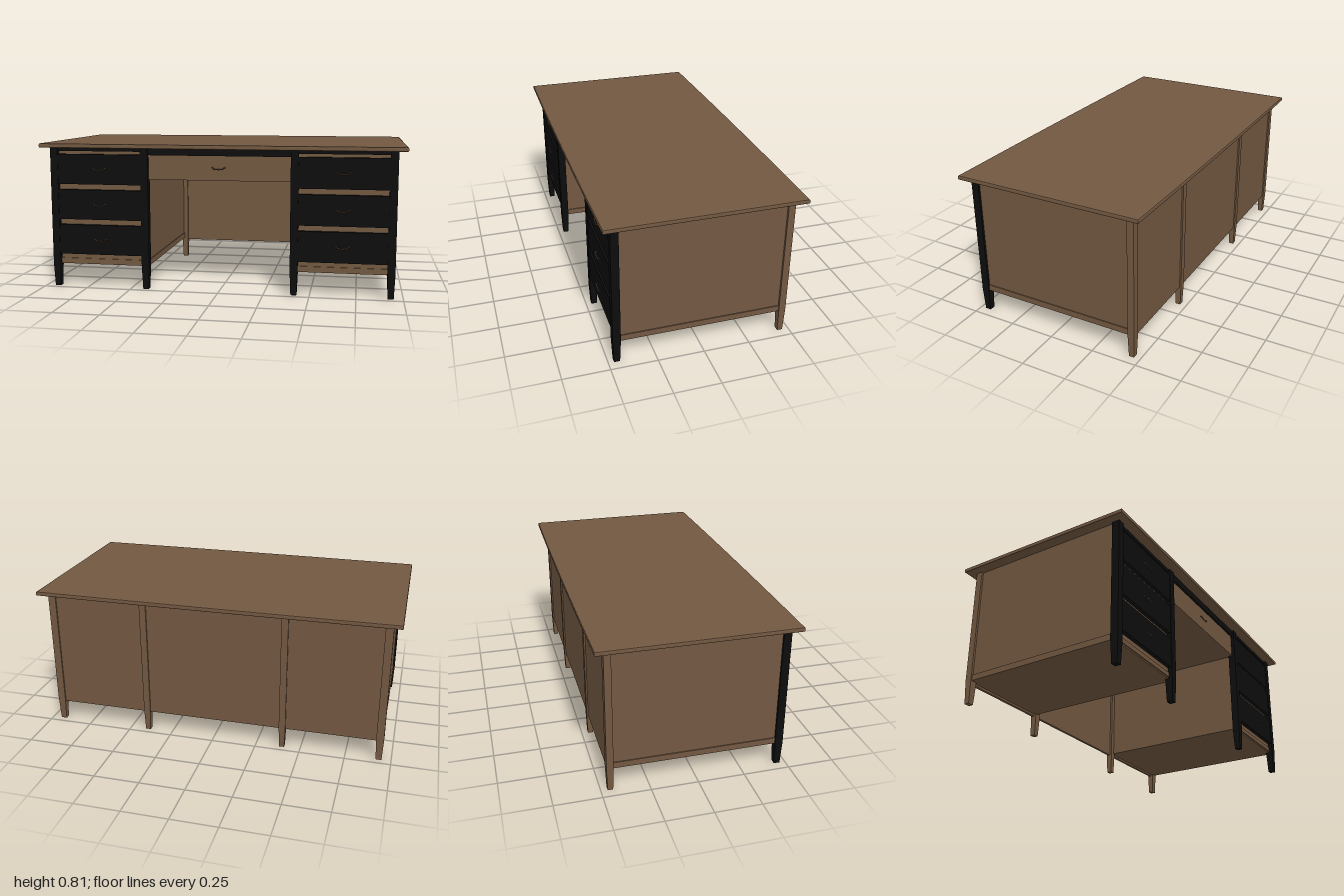
import * as THREE from 'three';

const brown = new THREE.MeshStandardMaterial({ color: 0x725841 });
brown.name = 'brown wood';
const black = new THREE.MeshStandardMaterial({ color: 0x0d0d0d });
black.name = 'black paint';

function add(parent, name, geometry, material) {
  const mesh = new THREE.Mesh(geometry, material);
  mesh.name = name;
  parent.add(mesh);
  return mesh;
}

// Box given by its lower and upper limits on each axis
function box(parent, name, material, [x0, x1], [y0, y1], [z0, z1]) {
  const mesh = add(parent, name, new THREE.BoxGeometry(x1 - x0, y1 - y0, z1 - z0), material);
  mesh.position.set((x0 + x1) / 2, (y0 + y1) / 2, (z0 + z1) / 2);
  return mesh;
}

// Square post with a foot that tapers below the cabinet
function post(parent, name, material, x, z, width, depth) {
  const g = new THREE.BoxGeometry(width, 0.79, depth, 1, 2, 1);
  const p = g.attributes.position;
  for (let i = 0; i < p.count; i++) {
    const y = p.getY(i);
    if (y < -0.2) {
      p.setX(i, p.getX(i) * 0.76);
      p.setZ(i, p.getZ(i) * 0.76);
    }
    p.setY(i, y < -0.2 ? 0 : y > 0.2 ? 0.79 : 0.13);
  }
  g.computeVertexNormals();
  add(parent, name, g, material).position.set(x, 0, z);
}

// Shallow drooping drawer pull
function handle(parent, x, y, z) {
  const pts = [[-0.036, 0.004, 0], [-0.032, 0.003, 0.008], [-0.022, -0.004, 0.009],
    [0.022, -0.004, 0.009], [0.032, 0.003, 0.008], [0.036, 0.004, 0]];
  const curve = new THREE.CatmullRomCurve3(pts.map((p) => new THREE.Vector3(...p)));
  add(parent, 'drawerHandle', new THREE.TubeGeometry(curve, 20, 0.0035, 6), brown).position.set(x, y, z);
}

// Desktop with slightly bowed long sides and a bevelled rim
function desktop(parent) {
  const b = 0.006, x = 1 - b, z = 0.519 - b, bow = z + 0.012;
  const s = new THREE.Shape();
  s.moveTo(-x, -z);
  s.quadraticCurveTo(0, -bow, x, -z);
  s.lineTo(x, z);
  s.quadraticCurveTo(0, bow, -x, z);
  s.closePath();
  const g = new THREE.ExtrudeGeometry(s, {
    depth: 0.012, bevelThickness: b, bevelSize: b, bevelSegments: 2, curveSegments: 12,
  });
  g.rotateX(-Math.PI / 2);
  add(parent, 'desktop', g, brown).position.y = 0.79 + b;
}

function pedestal(parent, side) {
  const g = new THREE.Group();
  g.name = side > 0 ? 'leftPedestal' : 'rightPedestal';
  parent.add(g);
  const span = (a, b) => (side > 0 ? [a, b] : [-b, -a]);

  // Cabinet body and the thin rails framing its sides
  box(g, 'cabinet', brown, span(0.405, 0.942), [0.127, 0.79], [-0.45, 0.45]);
  box(g, 'outerBottomRail', brown, span(0.94, 0.947), [0.127, 0.16], [-0.435, 0.435]);
  box(g, 'innerBottomRail', brown, span(0.4, 0.407), [0.127, 0.16], [-0.435, 0.435]);
  box(g, 'frontBottomRail', brown, span(0.43, 0.915), [0.135, 0.16], [0.44, 0.456]);
  box(g, 'frontTopRail', black, span(0.43, 0.915), [0.77, 0.79], [0.44, 0.465]);

  // Three drawers with pulls
  for (let i = 0; i < 3; i++) {
    const y = 0.669 - i * 0.199;
    box(g, 'drawerFront', black, span(0.434, 0.913), [y - 0.084, y + 0.084], [0.44, 0.472]);
    handle(g, side * 0.673, y + 0.002, 0.472);
  }

  // Front and back legs
  post(g, 'frontOuterLeg', black, side * 0.933, 0.454, 0.042, 0.042);
  post(g, 'frontInnerLeg', black, side * 0.414, 0.454, 0.042, 0.042);
  post(g, 'backOuterLeg', brown, side * 0.933, -0.451, 0.042, 0.037);
  post(g, 'backInnerLeg', brown, side * 0.396, -0.451, 0.037, 0.037);
}

export function createModel() {
  const desk = new THREE.Group();
  desk.name = 'desk';
  desktop(desk);
  for (const side of [1, -1]) pedestal(desk, side);

  // Back panel across the full width
  box(desk, 'backPanel', brown, [-0.94, 0.94], [0.115, 0.79], [-0.461, -0.445]);

  // Centre drawer under a black apron
  box(desk, 'centreApron', black, [-0.394, 0.394], [0.752, 0.79], [0.435, 0.465]);
  box(desk, 'centreDrawer', brown, [-0.404, 0.404], [0.617, 0.785], [-0.4, 0.455]);
  handle(desk, 0, 0.685, 0.455);
  return desk;
}
